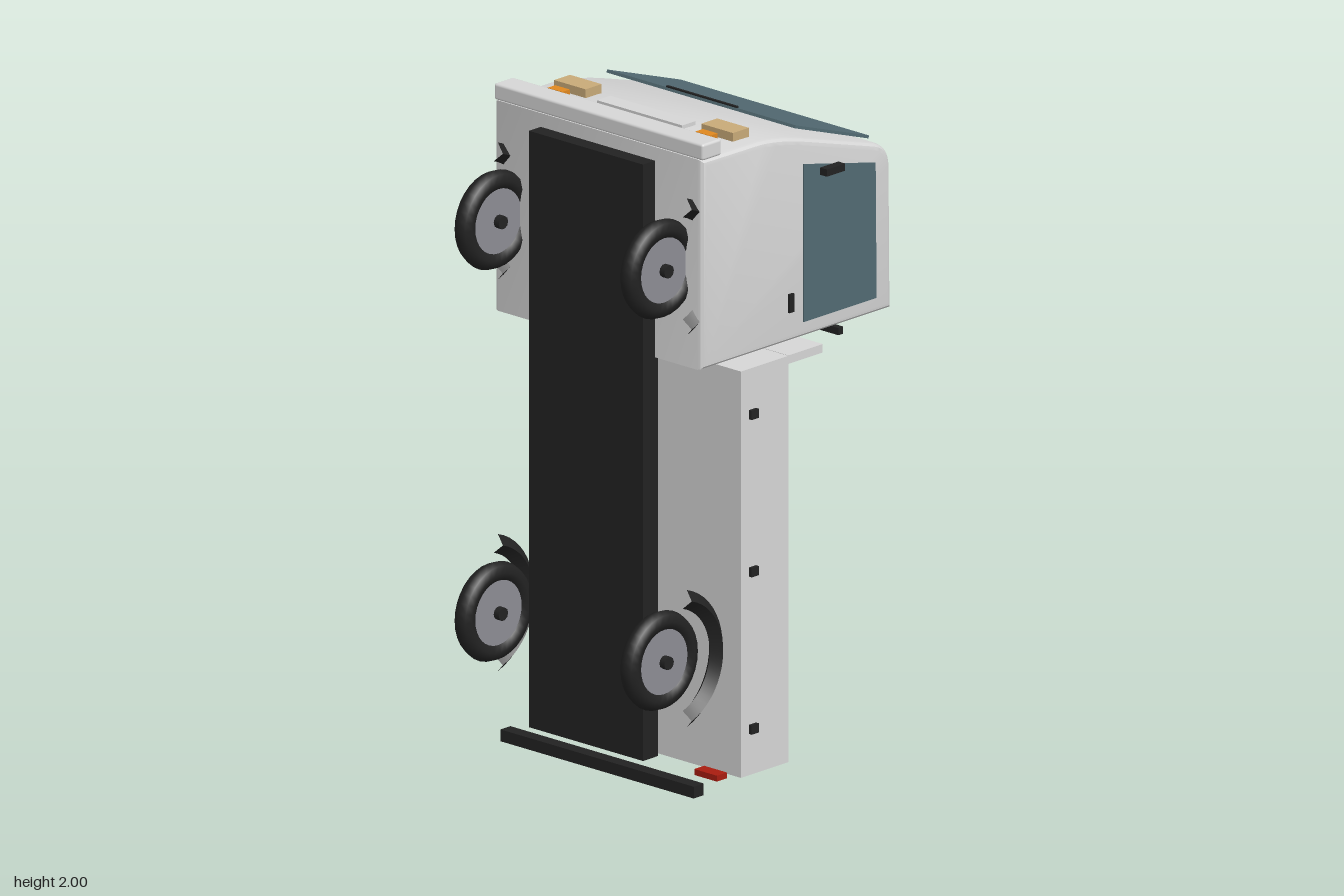
import * as THREE from 'three';
import { toCreasedNormals } from 'three/addons/utils/BufferGeometryUtils.js';
import { RoundedBoxGeometry } from 'three/addons/geometries/RoundedBoxGeometry.js';

const material = (name, color) => {
  const m = new THREE.MeshStandardMaterial({ color });
  m.name = name;
  return m;
};

// A small pickup truck standing on its tail: nose toward +y, roof toward -z.
export function createModel() {
  const paint = material('light grey paint', 0xd6d6d6);
  const black = material('black rubber and trim', 0x222222);
  const glass = material('tinted glass', 0x526a72);
  const rimGrey = material('rim grey', 0x8c8c94);
  const tan = material('tan', 0xc8aa78);
  const orange = material('indicator orange', 0xe08820);
  const red = material('tail light red', 0xa81c10);

  const truck = new THREE.Group();
  truck.name = 'pickupTruck';

  const add = (name, geometry, mat, x = 0, y = 0, z = 0) => {
    const mesh = new THREE.Mesh(geometry, mat);
    mesh.name = name;
    mesh.position.set(x, y, z);
    truck.add(mesh);
    return mesh;
  };
  // Box given by its lower and upper limits on each axis
  const box = (name, mat, [x0, x1], [y0, y1], [z0, z1]) =>
    add(name, new THREE.BoxGeometry(x1 - x0, y1 - y0, z1 - z0), mat,
      (x0 + x1) / 2, (y0 + y1) / 2, (z0 + z1) / 2);
  // Side profile in (z, y), extruded along x and centred
  const sideExtrude = (shape, width, bevel) => {
    const g = new THREE.ExtrudeGeometry(shape, {
      depth: width - 2 * bevel, bevelEnabled: bevel > 0, bevelSize: bevel,
      bevelThickness: bevel, bevelOffset: -bevel, bevelSegments: 3, curveSegments: 8,
    });
    g.translate(0, 0, bevel - width / 2);
    return g.rotateY(Math.PI / 2);
  };

  // Chassis
  box('chassis', black, [-0.227, 0.227], [0.09, 1.91], [0.27, 0.333]);

  // Cab shell with sloped nose and rounded roof edge
  const cab = new THREE.Shape();
  cab.moveTo(-0.283, 1.31);
  cab.lineTo(0.52, 1.31);
  cab.lineTo(0.516, 1.75);
  cab.quadraticCurveTo(0.51, 1.812, 0.446, 1.83);
  cab.lineTo(0.154, 1.915);
  cab.quadraticCurveTo(0.05, 1.945, -0.035, 1.95);
  cab.lineTo(-0.283, 1.952);
  cab.closePath();
  add('cab', toCreasedNormals(sideExtrude(cab, 0.832, 0.02), 0.5), paint);

  // Front bumper and grille panel
  add('frontBumper', new RoundedBoxGeometry(0.832, 0.05, 0.08, 2, 0.008), paint, 0, 1.975, 0.241);
  box('grille', paint, [-0.17, 0.17], [1.945, 1.962], [0.05, 0.107]);

  // Windscreen and wiper
  const screen = add('windscreen', new THREE.BoxGeometry(0.75, 0.009, 0.328), glass, 0, 1.889, -0.308);
  screen.rotation.x = -0.328;
  box('wiper', black, [-0.14, 0.14], [1.94, 1.95], [-0.162, -0.154]);

  // Side window outline
  const pane = new THREE.Shape([[0.143, 1.358], [0.45, 1.358], [0.446, 1.772], [0.143, 1.84]]
    .map(([u, v]) => new THREE.Vector2(u, v)));
  const paneGeometry = sideExtrude(pane, 0.008, 0);

  // Wheel and fender geometries, axles along x
  const tyre = new THREE.TorusGeometry(0.12, 0.03, 8, 32).rotateY(Math.PI / 2);
  const rim = new THREE.CylinderGeometry(0.1, 0.1, 0.04, 28).rotateZ(Math.PI / 2);
  const hub = new THREE.CylinderGeometry(0.02, 0.02, 0.08, 10).rotateZ(Math.PI / 2);
  const arc = Math.PI * 0.8;
  const fender = toCreasedNormals(
    new THREE.TorusGeometry(0.192, 0.028, 4, 20, arc).rotateZ(-arc / 2).rotateY(Math.PI / 2), 0.5);

  for (const s of [1, -1]) {
    const side = s > 0 ? 'left' : 'right';
    const span = (a, b) => (s > 0 ? [a, b] : [-b, -a]);

    // Cab side details
    add(side + 'Window', paneGeometry, glass, s * 0.415);
    box(side + 'DoorHandle', black, span(0.41, 0.424), [1.402, 1.458], [-0.098, -0.078]);
    box(side + 'Mirror', black, span(0.441, 0.468), [1.802, 1.824], [-0.265, -0.188]);

    // Lights
    box(side + 'Headlight', tan, span(0.23, 0.356), [1.945, 1.977], [0.023, 0.09]);
    box(side + 'Indicator', orange, span(0.265, 0.323), [1.945, 1.976], [0.12, 0.152]);
    box(side + 'TailLight', red, span(0.27, 0.36), [0.016, 0.034], [0.12, 0.162]);

    // Wheels with fenders
    for (const [end, y] of [['Front', 1.625], ['Rear', 0.43]]) {
      add(side + end + 'Tyre', tyre, black, s * 0.33, y, 0.374);
      add(side + end + 'Rim', rim, rimGrey, s * 0.33, y, 0.374);
      add(side + end + 'Hub', hub, black, s * 0.33, y, 0.374);
      add(side + end + 'Fender', fender, black, s * 0.376, y, 0.374);
    }

    // Bed side wall and its latches
    box(side + 'BedWall', paint, span(0.39, 0.416), [0.03, 1.27], [-0.08, 0.12]);
    for (const y of [0.17, 0.65, 1.13])
      box(side + 'BedLatch', black, span(0.414, 0.427), [y - 0.014, y + 0.014], [0.056, 0.086]);
  }

  // Bed floor, tailgate and headboard
  box('bedFloor', paint, [-0.39, 0.39], [0.03, 1.27], [0.095, 0.12]);
  box('tailgate', paint, [-0.39, 0.39], [0.03, 0.055], [-0.08, 0.095]);
  box('headboard', paint, [-0.416, 0.416], [1.245, 1.271], [-0.225, -0.08]);
  box('headboardBase', paint, [-0.39, 0.39], [1.245, 1.27], [-0.08, 0.095]);

  // Rack above the headboard
  box('rackBar', black, [-0.34, 0.34], [1.245, 1.267], [-0.392, -0.372]);
  for (const x of [-0.245, -0.082, 0.082, 0.245])
    box('rackPost', black, [x - 0.009, x + 0.009], [1.248, 1.264], [-0.375, -0.22]);

  // Cargo crates
  for (const [x, y] of [[0.195, 0.93], [-0.195, 0.93], [-0.195, 0.56]])
    box('crate', tan, [x - 0.155, x + 0.155], [y - 0.155, y + 0.155], [-0.14, 0.095]);

  // Rear bumper bar
  box('rearBumper', black, [-0.385, 0.385], [0, 0.036], [0.244, 0.286]);

  return truck;
}
